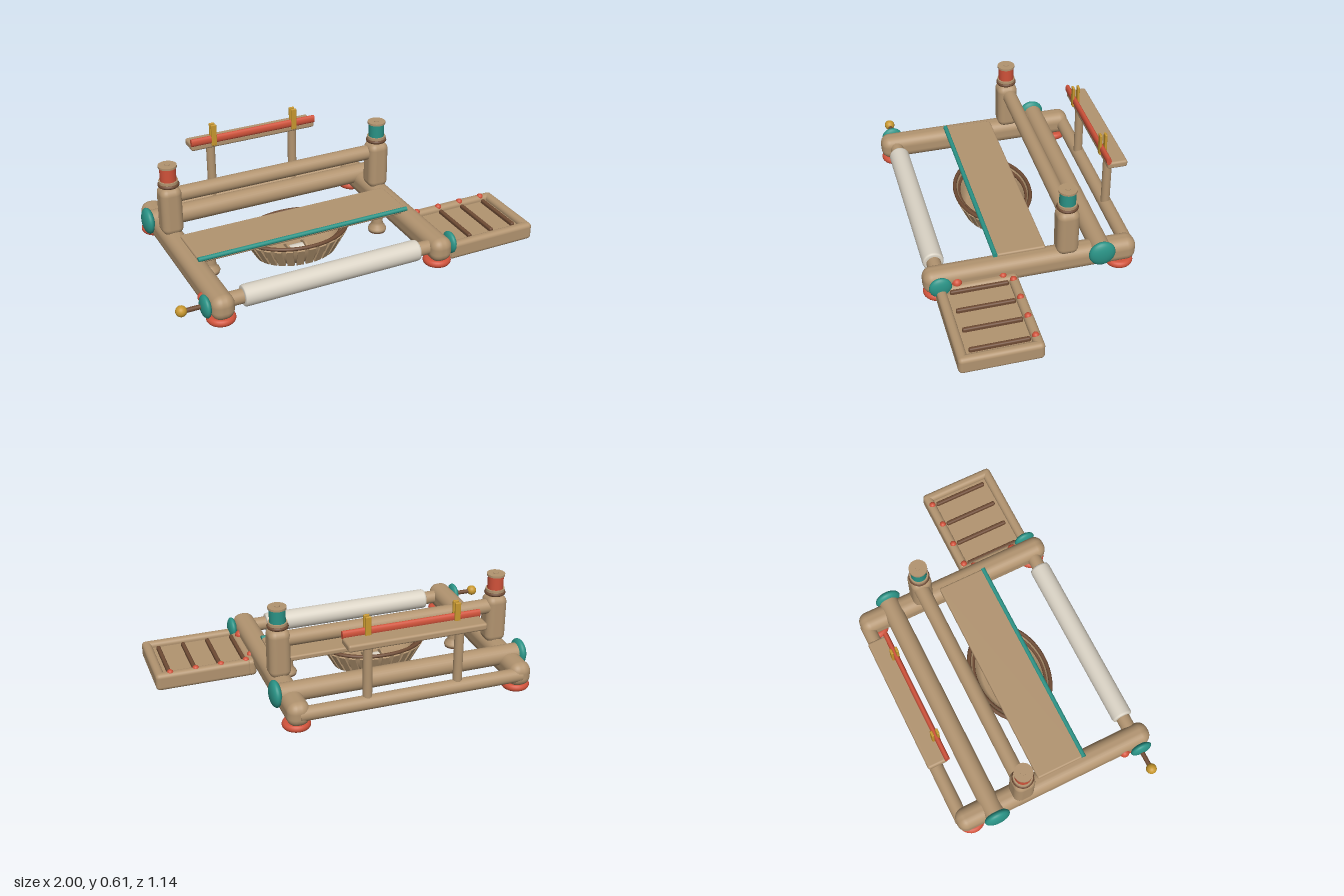
import * as THREE from 'three';
import { RoundedBoxGeometry } from 'three/addons/geometries/RoundedBoxGeometry.js';

const mat = (name, color) => {
  const m = new THREE.MeshStandardMaterial({ color });
  m.name = name;
  return m;
};

export function createModel() {
  const wood = mat('wood', 0xb29470), red = mat('red', 0xd0523a), teal = mat('teal', 0x2a9386);
  const gold = mat('gold', 0xc8982f), cream = mat('cream', 0xdad3c5), dark = mat('darkWood', 0x6e4b34);
  const model = new THREE.Group();
  model.name = 'loom';

  const add = (name, geo, material, x, y, z, parent = model) => {
    const mesh = new THREE.Mesh(geo, material);
    mesh.name = name;
    mesh.position.set(x, y, z);
    parent.add(mesh);
    return mesh;
  };
  const box = (name, m, w, h, d, x, y, z, r = 0.01) =>
    add(name, new RoundedBoxGeometry(w, h, d, 4, r), m, x, y, z);
  // horizontal bar running from x0 to x1
  const bar = (name, m, r, x0, x1, y, z) => {
    const b = add(name, new THREE.CylinderGeometry(r, r, x1 - x0, 28), m, (x0 + x1) / 2, y, z);
    b.rotation.z = Math.PI / 2;
    return b;
  };
  const ball = (name, m, r, x, y, z, sx = 1) => {
    const b = add(name, new THREE.SphereGeometry(r, 28, 18), m, x, y, z);
    b.scale.x = sx;
    return b;
  };
  const lathe = (pts, seg = 32) => new THREE.LatheGeometry(pts.map(p => new THREE.Vector2(p[0], p[1])), seg);
  const disc = (name, m, r, h, x, y, z) => add(name, new THREE.CylinderGeometry(r, r, h, 32), m, x, y, z);

  // soft cushion-shaped foot
  const footPts = [[0.0001, -0.02], [0.052, -0.02]];
  for (let i = 1; i < 8; i++) {
    const a = -Math.PI / 2 + i * Math.PI / 8;
    footPts.push([0.052 + 0.021 * Math.cos(a), 0.02 * Math.sin(a)]);
  }
  footPts.push([0.052, 0.02], [0.0001, 0.02]);
  const footGeo = lathe(footPts);

  // side frames with feet, end caps, posts and spools
  const cx = -0.182;
  for (const s of [-1, 1]) {
    const x = cx + s * 0.597;
    const out = d => x + s * d;
    box('sideRail', wood, 0.118, 0.13, 1.112, x, 0.15, 0.013, 0.05);
    for (const z of [0.495, -0.463]) add('foot', footGeo, red, x, 0.075, z);
    ball('frontRollerCap', teal, 0.058, out(0.075), 0.155, 0.492, 0.42);
    ball('backRollerCap', teal, 0.07, out(0.071), 0.19, -0.346, 0.44);
    ball('sideKnob', red, 0.026, out(0.054), 0.15, 0.405);
    box('post', wood, 0.114, 0.265, 0.114, x, 0.328, -0.175, 0.038);
    // spool
    const ring = add('spoolRing', new THREE.TorusGeometry(0.046, 0.01, 10, 36), dark, x, 0.473, -0.175);
    ring.rotation.x = Math.PI / 2;
    disc('spoolCore', wood, 0.03, 0.12, x, 0.515, -0.175);
    disc('spoolBase', wood, 0.05, 0.014, x, 0.49, -0.175);
    disc('spoolThread', s < 0 ? red : teal, 0.042, 0.073, x, 0.533, -0.175);
    disc('spoolTop', wood, 0.048, 0.011, x, 0.575, -0.175);
    disc('spoolPin', wood, 0.014, 0.012, x, 0.578, -0.175);
  }
  ball('sideKnob', red, 0.018, 0.474, 0.147, 0.17);

  // crank handle
  bar('handleRod', dark, 0.012, -0.96, -0.85, 0.157, 0.487);
  ball('handleKnob', gold, 0.028, -0.972, 0.16, 0.487);

  // cross beams and cloth roller
  bar('frontBeam', wood, 0.037, -0.78, 0.415, 0.156, 0.487);
  const rollerPts = [[0.0001, -0.482], [0.045, -0.482], [0.052, -0.478], [0.055, -0.468],
    [0.055, 0.468], [0.052, 0.478], [0.045, 0.482], [0.0001, 0.482]];
  add('clothRoller', lathe(rollerPts), cream, -0.182, 0.156, 0.487).rotation.z = Math.PI / 2;
  bar('backRoller', wood, 0.052, -0.83, 0.465, 0.19, -0.35);
  bar('upperBeam', wood, 0.04, -0.78, 0.415, 0.4, -0.184);
  bar('backBeam', wood, 0.037, -0.78, 0.415, 0.15, -0.51);

  // rear shelf with rod and pegs
  box('shelf', wood, 0.725, 0.038, 0.108, cx, 0.493, -0.518, 0.012);
  bar('shelfRod', red, 0.022, -0.545, 0.18, 0.523, -0.47).scale.z = 0.6;
  for (const s of [-1, 1]) {
    disc('shelfSupport', wood, 0.024, 0.35, cx + s * 0.242, 0.32, -0.505);
    const px = cx + s * 0.235;
    for (const z of [-0.461, -0.489]) box('peg', gold, 0.03, 0.118, 0.013, px, 0.55, z, 0.004);
    box('pegBase', gold, 0.03, 0.012, 0.038, px, 0.494, -0.474, 0.004);
  }

  // middle board with edge trim and legs
  box('board', wood, 1.176, 0.03, 0.265, -0.184, 0.213, 0.06, 0.01);
  bar('boardTrim', teal, 0.012, -0.772, 0.404, 0.223, 0.191);
  const legGeo = lathe([[0.0001, 0.06], [0.048, 0.06], [0.05, 0.068], [0.047, 0.078],
    [0.034, 0.095], [0.03, 0.11], [0.03, 0.205]]);
  for (const x of [-0.665, 0.3]) {
    add('boardLeg', legGeo, wood, x, 0, 0.065);
    disc('legPad', dark, 0.046, 0.008, x, 0.058, 0.065);
  }

  // oval ribbed basket below the board
  const basket = new THREE.Group();
  basket.name = 'basket';
  basket.position.set(cx, 0, 0.06);
  basket.scale.set(1.38, 1, 1);
  model.add(basket);
  add('basketBowl', lathe([[0.0001, 0.068], [0.148, 0.068], [0.178, 0.115], [0.2, 0.18],
    [0.185, 0.18], [0.165, 0.118], [0.138, 0.08], [0.0001, 0.08]], 48), wood, 0, 0, 0, basket);
  for (const [r, y] of [[0.2, 0.183], [0.18, 0.165]]) {
    add('basketRim', new THREE.TorusGeometry(r, 0.01, 10, 48), dark, 0, y, 0, basket).rotation.x = Math.PI / 2;
  }
  const ribGeo = new THREE.BoxGeometry(0.028, 0.115, 0.01);
  ribGeo.rotateX(0.4);
  ribGeo.translate(0, 0.115, 0.178);
  for (let i = 0; i < 28; i++) {
    add('basketRib', ribGeo, wood, 0, 0, 0, basket).rotation.y = i * Math.PI / 14;
  }

  // small wheel under the basket
  bar('wheel', cream, 0.037, -0.222, -0.145, 0.053, 0.066);
  for (const x of [-0.234, -0.136]) bar('wheelFlange', wood, 0.05, x - 0.006, x + 0.006, 0.052, 0.066);
  bar('wheelAxle', wood, 0.012, -0.236, -0.13, 0.053, 0.066);

  // side tray with dividers and buttons
  box('trayFloor', wood, 0.5, 0.065, 0.4, 0.735, 0.088, 0.306, 0.03);
  for (const z of [0.121, 0.491]) box('trayEnd', wood, 0.51, 0.094, 0.05, 0.738, 0.102, z, 0.022);
  for (const x of [0.482, 0.97]) box('traySide', wood, 0.05, 0.094, 0.42, x, 0.102, 0.306, 0.022);
  for (let i = 0; i < 4; i++) {
    const x = 0.51 + i * 0.135;
    box('trayDivider', dark, 0.022, 0.03, 0.3, x, 0.125, 0.3, 0.009);
    ball('trayButton', red, 0.018, x, 0.142, 0.125);
  }
  return model;
}
